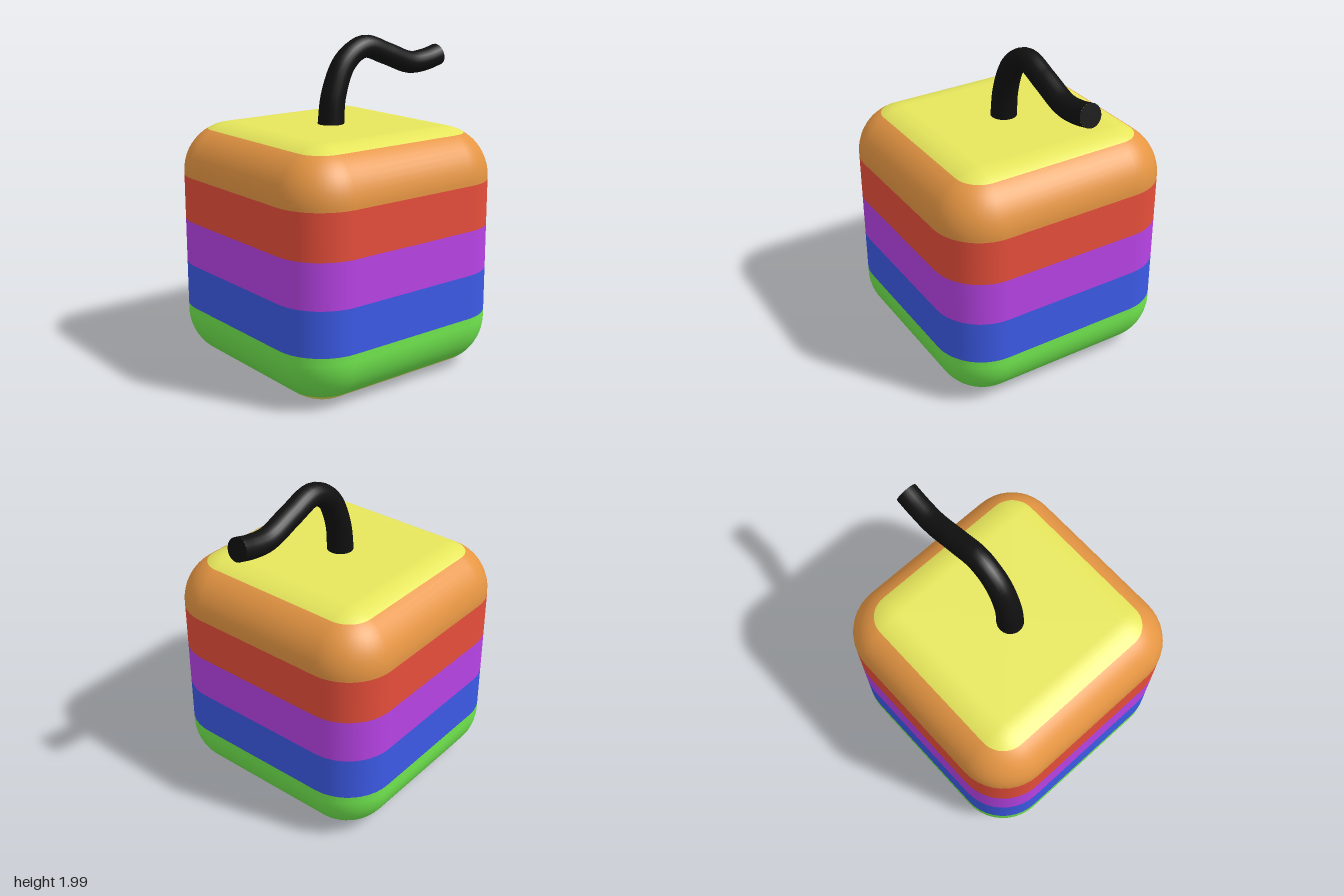
import * as THREE from 'three';

const mat = (name, color) => {
  const m = new THREE.MeshStandardMaterial({ color });
  m.name = name;
  return m;
};

const SIZE = 0.74, R = 0.3, CORE = SIZE - R; // half width, edge radius, half width of the flat faces
const ARC = 10; // steps per rounded corner

// Tilt of the surface normal at height h above the body's centre
const tilt = (h) => Math.asin(THREE.MathUtils.clamp((Math.abs(h) - CORE) / R, 0, 1)) * Math.sign(h);

// One horizontal slice of the rounded cube, lofted from rounded-square rings
function bandGeometry(y0, y1) {
  const pos = [], nor = [], idx = [];
  const levels = [y0 - SIZE, y1 - SIZE];
  for (const k of [-CORE, CORE]) if (k > levels[0] && k < levels[1]) levels.push(k);
  levels.sort((a, b) => a - b);

  // Subdivide the curved stretches evenly by angle
  const rings = [];
  for (let i = 0; i < levels.length - 1; i++) {
    const [a, b] = [levels[i], levels[i + 1]];
    const ta = tilt(a), tb = tilt(b);
    const n = Math.max(1, Math.ceil(Math.abs(tb - ta) / 0.12));
    for (let j = i ? 1 : 0; j <= n; j++) {
      const t = ta + (tb - ta) * j / n;
      const h = n === 1 ? a + (b - a) * j : Math.sign(a + b) * CORE + R * Math.sin(t);
      rings.push([h, t]);
    }
  }

  const count = 4 * (ARC + 1);
  for (const [h, t] of rings) {
    for (let q = 0; q < 4; q++) {
      const mid = (q + 0.5) * Math.PI / 2;
      for (let s = 0; s <= ARC; s++) {
        const a = (q + s / ARC) * Math.PI / 2;
        const nx = Math.cos(t) * Math.cos(a), nz = Math.cos(t) * Math.sin(a);
        pos.push(Math.sign(Math.cos(mid)) * CORE + R * nx, h + SIZE, Math.sign(Math.sin(mid)) * CORE + R * nz);
        nor.push(nx, Math.sin(t), nz);
      }
    }
  }
  for (let r = 0; r < rings.length - 1; r++) {
    for (let i = 0; i < count; i++) {
      const a = r * count + i, b = r * count + (i + 1) % count;
      idx.push(a, a + count, b, b, a + count, b + count);
    }
  }

  // Flat face closing the very top or bottom
  const close = (ring, y, up) => {
    const c = pos.length / 3;
    pos.push(0, y, 0);
    nor.push(0, up ? 1 : -1, 0);
    for (let i = 0; i < count; i++) {
      const a = ring * count + i, b = ring * count + (i + 1) % count;
      if (up) idx.push(c, b, a); else idx.push(c, a, b);
    }
  };
  if (y0 <= 0) close(0, 0, false);
  if (y1 >= 2 * SIZE) close(rings.length - 1, 2 * SIZE, true);

  const g = new THREE.BufferGeometry();
  g.setAttribute('position', new THREE.Float32BufferAttribute(pos, 3));
  g.setAttribute('normal', new THREE.Float32BufferAttribute(nor, 3));
  g.setIndex(idx);
  return g;
}

// Bent stem, slightly thinner towards its tip
function createStem(material) {
  const stem = new THREE.Group();
  stem.name = 'stem';
  const curve = new THREE.CatmullRomCurve3([
    [-0.08, 1.46], [-0.057, 1.65], [0.03, 1.84], [0.175, 1.922],
    [0.35, 1.87], [0.55, 1.8], [0.68, 1.807], [0.785, 1.832],
  ].map(([x, y]) => new THREE.Vector3(x, y, -0.004)));
  const steps = 40, sides = 20, r0 = 0.08, r1 = 0.069;
  const tube = new THREE.TubeGeometry(curve, steps, r0, sides, false);
  const p = tube.attributes.position, v = new THREE.Vector3();
  for (let i = 0; i <= steps; i++) {
    const c = curve.getPointAt(i / steps);
    const k = THREE.MathUtils.lerp(1, r1 / r0, Math.min(1, 2.5 * i / steps));
    for (let j = 0; j <= sides; j++) {
      const n = i * (sides + 1) + j;
      v.fromBufferAttribute(p, n).sub(c).multiplyScalar(k).add(c);
      p.setXYZ(n, v.x, v.y, v.z);
    }
  }
  const body = new THREE.Mesh(tube, material);
  body.name = 'stemTube';
  const tip = new THREE.Mesh(new THREE.CircleGeometry(r1, sides), material);
  tip.name = 'stemTip';
  tip.position.copy(curve.getPointAt(1));
  tip.quaternion.setFromUnitVectors(new THREE.Vector3(0, 0, 1), curve.getTangentAt(1));
  stem.add(body, tip);
  return stem;
}

export function createModel() {
  const model = new THREE.Group();
  model.name = 'stripedCube';
  const yellow = mat('yellow', 0xe6e65c);

  // Striped body, bottom to top
  const body = new THREE.Group();
  body.name = 'body';
  body.position.x = -0.055;
  const bands = [
    ['bottomBand', 0, yellow],
    ['greenBand', 0.07, mat('green', 0x70e64e)],
    ['blueBand', 0.345, mat('blue', 0x3c5ae6)],
    ['purpleBand', 0.617, mat('purple', 0xb843e6)],
    ['redBand', 0.89, mat('red', 0xe64e3a)],
    ['orangeBand', 1.165, mat('orange', 0xe69643)],
    ['topBand', 1.44, yellow],
  ];
  bands.forEach(([name, y, material], i) => {
    const top = i + 1 < bands.length ? bands[i + 1][1] : 2 * SIZE;
    const mesh = new THREE.Mesh(bandGeometry(y, top), material);
    mesh.name = name;
    body.add(mesh);
  });

  model.add(body, createStem(mat('black', 0x101010)));
  return model;
}
